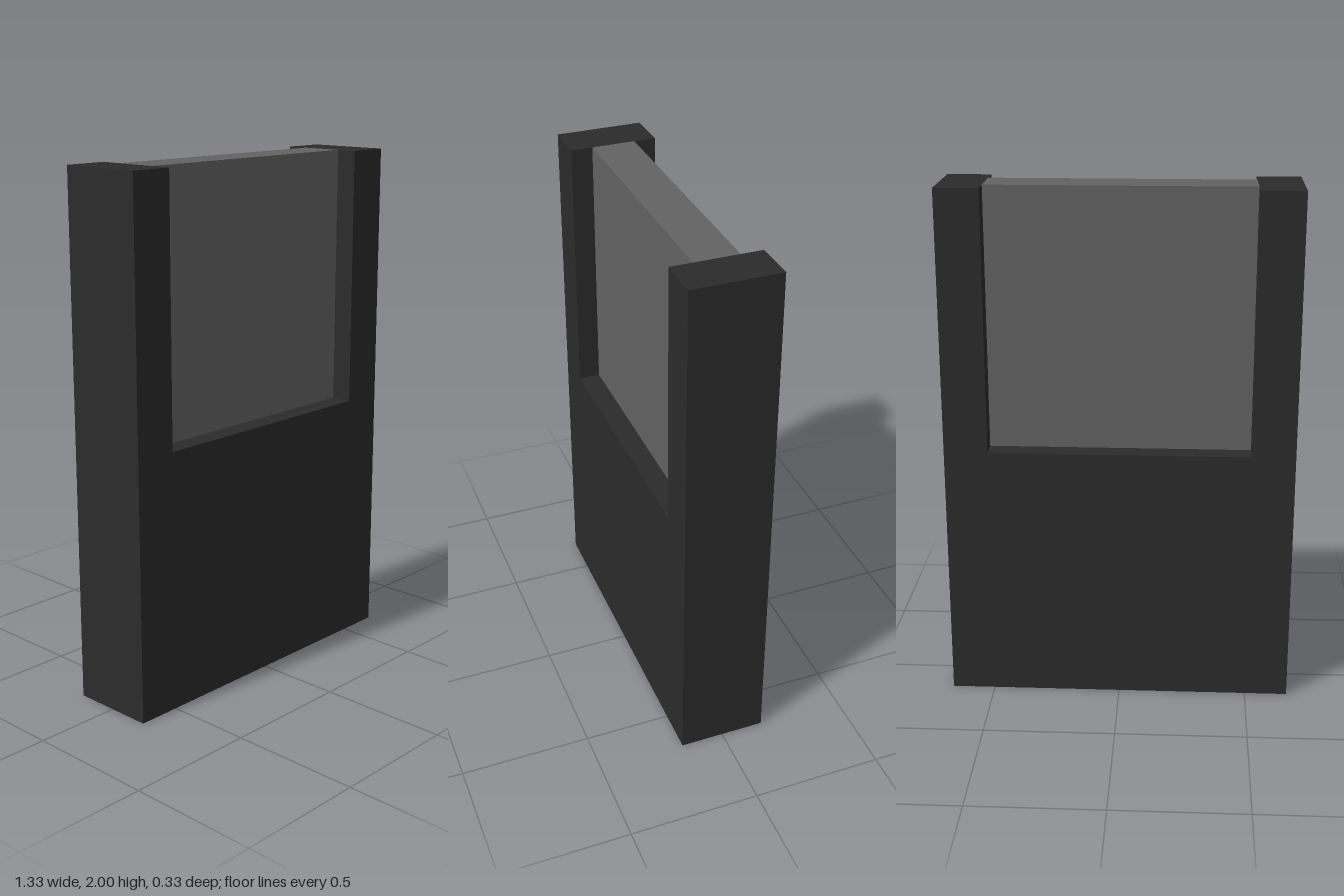
import * as THREE from 'three';

const WIDTH = 1.333, HEIGHT = 2, DEPTH = 0.333;
const OPENING = 1, SILL = 1, PANE_DEPTH = 0.167;

export function createModel() {
  const model = new THREE.Group();
  model.name = 'windowPanel';

  const frameMaterial = new THREE.MeshStandardMaterial({ color: 0x2b2b2b });
  const paneMaterial = new THREE.MeshStandardMaterial({ color: 0x626262 });

  // Solid lower panel with two posts, cut as one U-shaped outline
  const w = WIDTH / 2, o = OPENING / 2;
  const outline = new THREE.Shape([
    [-w, 0], [w, 0], [w, HEIGHT], [o, HEIGHT],
    [o, SILL], [-o, SILL], [-o, HEIGHT], [-w, HEIGHT],
  ].map(([x, y]) => new THREE.Vector2(x, y)));
  const frameGeometry = new THREE.ExtrudeGeometry(outline, { depth: DEPTH, bevelEnabled: false });
  frameGeometry.translate(0, 0, -DEPTH / 2);
  const frame = new THREE.Mesh(frameGeometry, frameMaterial);
  frame.name = 'frame';
  model.add(frame);

  // Thinner pane filling the opening, centred in the frame's depth
  const paneHeight = HEIGHT - SILL;
  const pane = new THREE.Mesh(new THREE.BoxGeometry(OPENING, paneHeight, PANE_DEPTH), paneMaterial);
  pane.name = 'pane';
  pane.position.y = SILL + paneHeight / 2;
  model.add(pane);

  return model;
}
